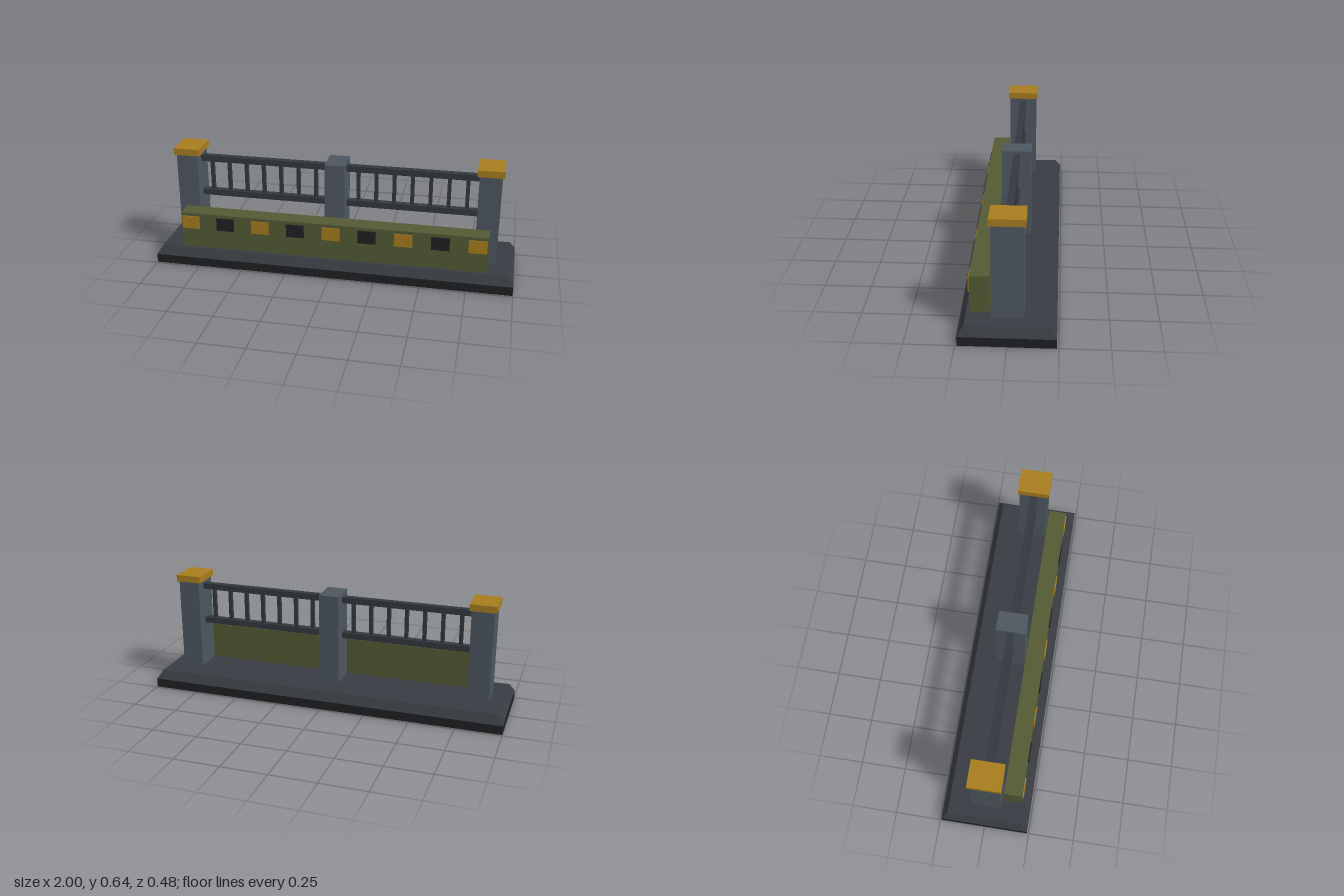
import * as THREE from 'three';

const material = (color) => new THREE.MeshStandardMaterial({ color, flatShading: true });

export function createModel() {
  const model = new THREE.Group();
  const postGrey = material(0x4d565f);
  const railGrey = material(0x33383e);
  const slabGrey = material(0x383b41);
  const black = material(0x1e2022);
  const green = material(0x525a33);
  const gold = material(0xa67c1e);

  // Box given by its centre x and z, bottom and top heights, width and depth
  const box = (name, mat, x, z, y0, y1, width, depth) => {
    const mesh = new THREE.Mesh(new THREE.BoxGeometry(width, y1 - y0, depth), mat);
    mesh.name = name;
    mesh.position.set(x, (y0 + y1) / 2, z);
    model.add(mesh);
    return mesh;
  };

  // Plinth with a sloped upper slab
  box('plinth', black, 0, 0, 0, 0.05, 2, 0.48);
  const slab = box('slopedSlab', slabGrey, 0, 0, 0.05, 0.097, 2, 0.48);
  const p = slab.geometry.attributes.position;
  for (let i = 0; i < p.count; i++) {
    if (p.getY(i) > 0) {
      p.setX(i, Math.sign(p.getX(i)) * 0.97);
      p.setZ(i, Math.sign(p.getZ(i)) * 0.208);
    }
  }
  slab.geometry.computeVertexNormals();

  // Middle post
  box('middlePost', postGrey, 0, 0, 0.097, 0.605, 0.112, 0.16);

  for (const side of [-1, 1]) {
    // End posts with caps
    box('endPost', postGrey, side * 0.84, 0, 0.097, 0.605, 0.12, 0.16);
    box('postCap', gold, side * 0.84, 0, 0.605, 0.642, 0.144, 0.176);

    // Railing panel between the posts
    box('topRail', railGrey, side * 0.42, 0, 0.552, 0.586, 0.74, 0.036);
    box('bottomRail', railGrey, side * 0.42, 0, 0.347, 0.381, 0.74, 0.036);
    for (let i = 0; i < 7; i++) {
      box('baluster', railGrey, side * (0.12 + i * 0.1), 0, 0.381, 0.552, 0.02, 0.02);
    }
  }

  // Low barrier in front of the railing, with alternating plates
  box('barrier', green, 0, 0.14, 0.097, 0.302, 1.712, 0.1);
  for (let i = 0; i < 9; i++) {
    box('barrierPlate', i % 2 ? black : gold, -0.8 + i * 0.2, 0.192, 0.21, 0.284, 0.1, 0.008);
  }

  return model;
}
